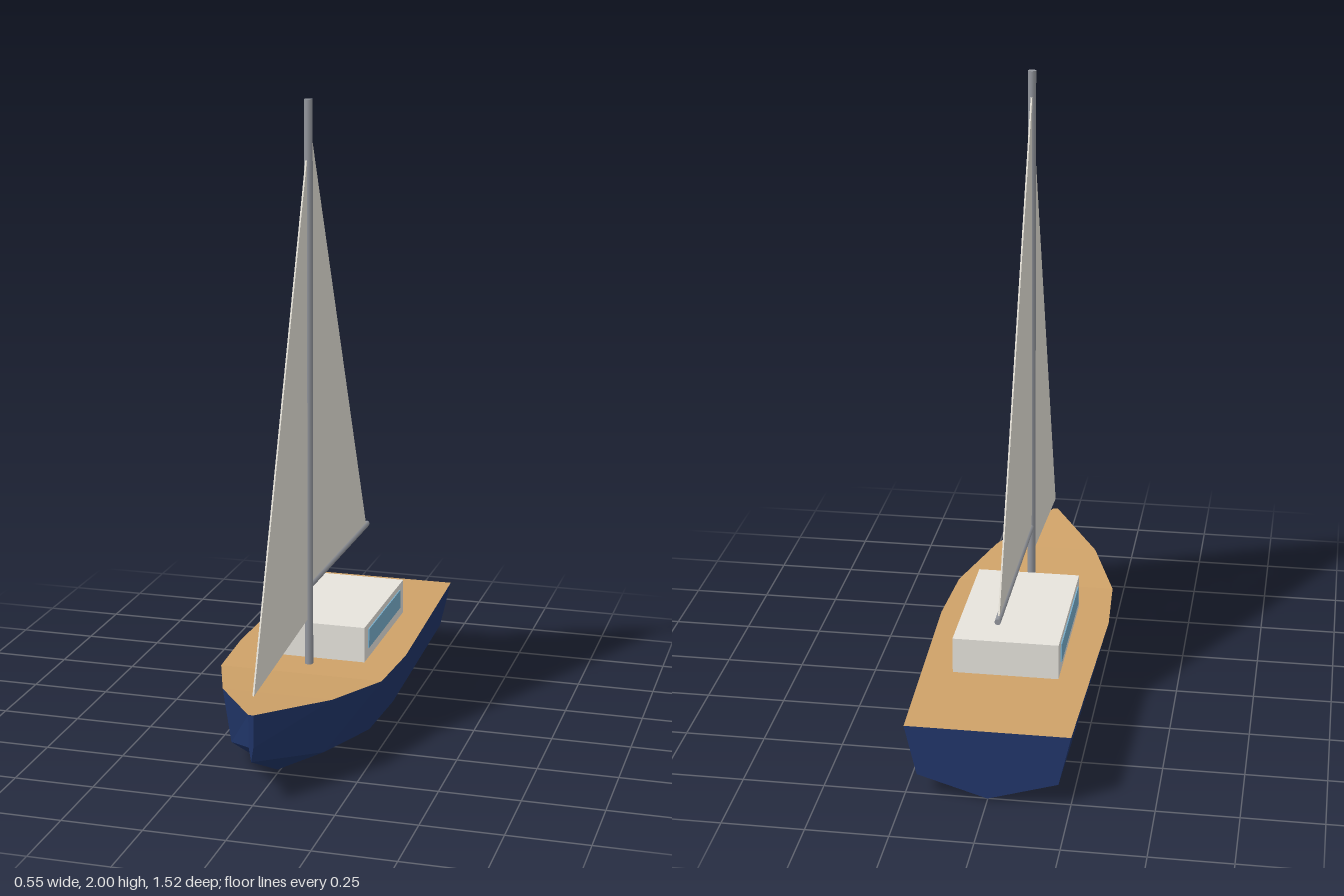
import * as THREE from 'three';

const mat = (name, color, opts = {}) => {
  const m = new THREE.MeshStandardMaterial({ color, ...opts });
  m.name = name;
  return m;
};

// Hull stations, stern to bow: z, deck half width, deck y, chine half width, chine y, keel y
const STATIONS = [
  [-0.76, 0.25, 0.23, 0.213, 0.07, 0.005],
  [0, 0.275, 0.23, 0.234, 0.07, 0.005],
  [0.25, 0.26, 0.232, 0.221, 0.07, 0.0],
  [0.5, 0.172, 0.255, 0.146, 0.085, 0.012],
  [0.76, 0.008, 0.286, 0.007, 0.185, 0.14],
];

function facets(triangles) {
  const g = new THREE.BufferGeometry().setFromPoints(triangles);
  g.computeVertexNormals();
  return g;
}

export function createModel() {
  const boat = new THREE.Group();
  boat.name = 'sailboat';
  const navy = mat('navy hull', 0x21366a);
  const wood = mat('deck wood', 0xcfa268);
  const white = mat('cabin white', 0xe8e5de);
  const cloth = mat('sail cloth', 0xe8e4da);
  const metal = mat('spar metal', 0x94979e);
  const glass = mat('window glass', 0x78aecb);

  const add = (name, geometry, material, x = 0, y = 0, z = 0) => {
    const mesh = new THREE.Mesh(geometry, material);
    mesh.name = name;
    mesh.position.set(x, y, z);
    boat.add(mesh);
    return mesh;
  };

  // Hull: hard-chine cross-sections joined from stern to bow
  const rings = STATIONS.map(([z, dw, dy, cw, cy, ky]) =>
    [[dw, dy], [cw, cy], [0, ky], [-cw, cy], [-dw, dy]].map(([x, y]) => new THREE.Vector3(x, y, z)));
  const hull = [], deck = [];
  for (let i = 0; i < rings.length - 1; i++) {
    const a = rings[i], b = rings[i + 1];
    for (let j = 0; j < 4; j++) {
      hull.push(a[j], b[j], b[j + 1], a[j], b[j + 1], a[j + 1]);
    }
    deck.push(a[0], a[4], b[4], a[0], b[4], b[0]);
  }
  // Transom and stem caps
  const stern = rings[0], bow = rings[rings.length - 1];
  for (let j = 1; j < 4; j++) {
    hull.push(stern[0], stern[j], stern[j + 1], bow[0], bow[j + 1], bow[j]);
  }
  add('hull', facets(hull), navy);
  add('deck', facets(deck), wood);

  // Cabin with a window plate on each side
  add('cabin', new THREE.BoxGeometry(0.33, 0.12, 0.505), white, 0, 0.285, -0.1525);
  for (const side of [1, -1]) {
    add(side > 0 ? 'leftWindow' : 'rightWindow',
      new THREE.BoxGeometry(0.008, 0.062, 0.41), glass, side * 0.165, 0.295, -0.15);
  }

  // Mast and boom
  add('mast', new THREE.CylinderGeometry(0.013, 0.013, 1.775, 10), metal, 0, 1.1125, 0.155);
  add('boom', new THREE.CylinderGeometry(0.01, 0.01, 0.705, 8), metal, 0, 0.486, -0.2)
    .rotation.x = Math.PI / 2;

  // Sails: thin triangles given as [z, y] corners
  const addSail = (name, corners) => {
    const shape = new THREE.Shape(corners.map(([z, y]) => new THREE.Vector2(-z, y)));
    const g = new THREE.ExtrudeGeometry(shape, { depth: 0.005, bevelEnabled: false });
    g.translate(0, 0, -0.0025).rotateY(Math.PI / 2);
    add(name, g, cloth);
  };
  addSail('mainSail', [[0.145, 1.925], [0.145, 0.495], [-0.53, 0.495]]);
  addSail('jib', [[0.18, 1.82], [0.735, 0.335], [0.18, 0.385]]);

  return boat;
}
